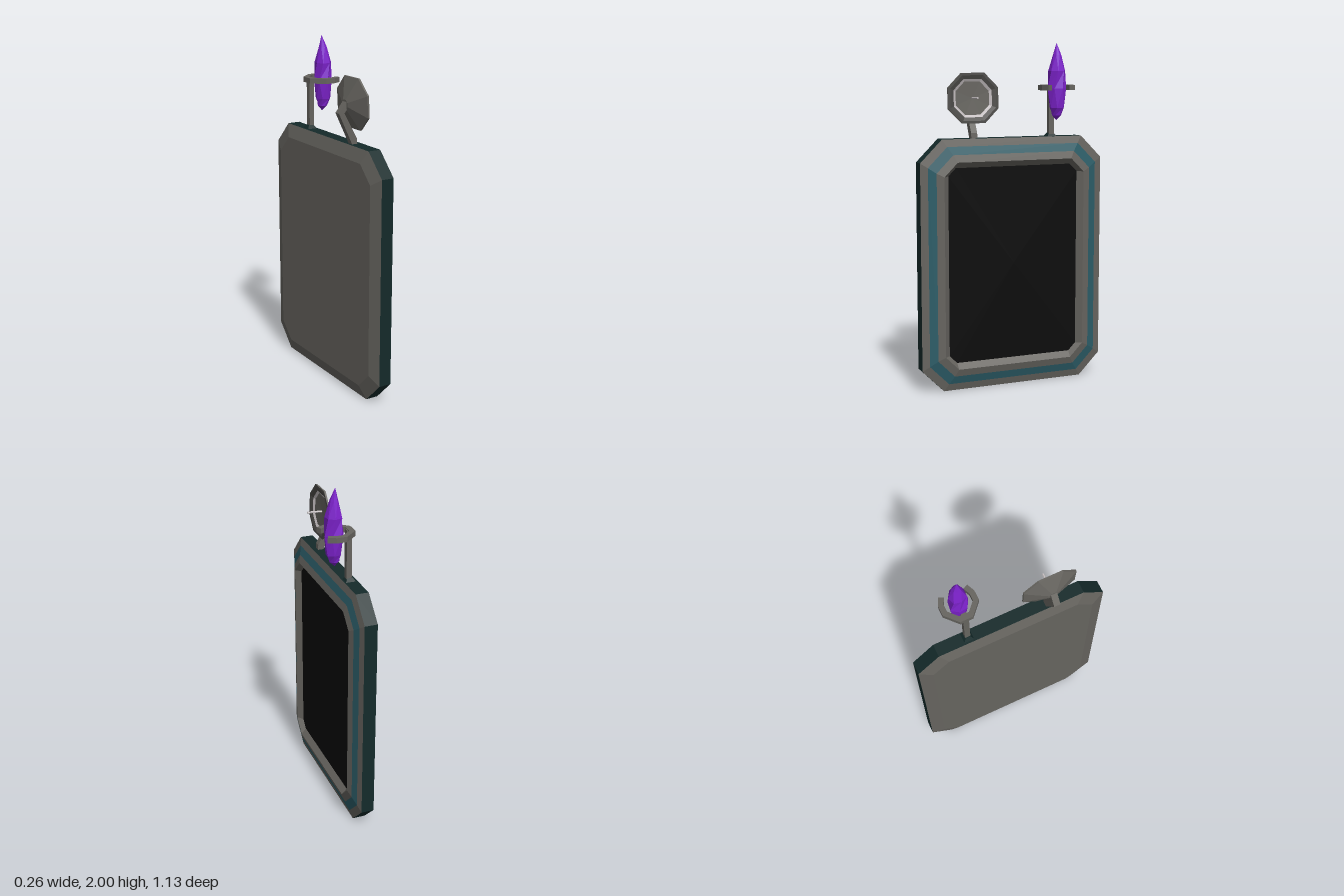
import * as THREE from 'three';

const mat = (color) => new THREE.MeshStandardMaterial({ color, flatShading: true });
const GREY = mat(0x66645f), DARK_GREY = mat(0x4c4b48), TEAL = mat(0x2c5d68), DARK_TEAL = mat(0x142a2a);
const BLACK = mat(0x0a0a0a), LIGHT = mat(0xc4bec0), PURPLE = mat(0x7d22cc);

// Skin between loops of points; loops run counter-clockwise seen from the end they advance to
function loft(loops) {
  const pos = [];
  for (let k = 0; k + 1 < loops.length; k++) {
    const A = loops[k], B = loops[k + 1], n = A.length;
    for (let i = 0; i < n; i++) {
      const j = (i + 1) % n;
      pos.push(...A[i], ...A[j], ...B[j], ...A[i], ...B[j], ...B[i]);
    }
  }
  const g = new THREE.BufferGeometry();
  g.setAttribute('position', new THREE.Float32BufferAttribute(pos, 3));
  g.computeVertexNormals();
  return g;
}

// Rectangle with cut corners, standing across x: depth x, half width w, half height h, corner cut c
function octagon([x, w, h, c]) {
  return [[w, c - h], [w, h - c], [w - c, h], [c - w, h], [-w, h - c], [-w, c - h], [c - w, -h], [w - c, -h]]
    .map(([a, y]) => [x, y, -a]);
}

function add(parent, name, geometry, material) {
  const mesh = new THREE.Mesh(geometry, material);
  mesh.name = name;
  parent.add(mesh);
  return mesh;
}

// Flat outline extruded by depth, centred on its own thickness
function slab(points, depth) {
  const g = new THREE.ExtrudeGeometry(new THREE.Shape(points.map((p) => new THREE.Vector2(...p))),
    { depth, bevelEnabled: false });
  return g.translate(0, 0, -depth / 2);
}

function createPanel() {
  const panel = new THREE.Group();
  panel.name = 'displayPanel';
  panel.position.y = 0.73;
  const ring = (x, inset, c) => octagon([x, 0.565 - inset, 0.73 - inset, c]);
  const centre = (x) => octagon([x, 0, 0, 0]);
  const back = ring(-0.09, 0.075, 0.1), rimBack = ring(-0.065, 0, 0.13), rimFront = ring(0.01, 0, 0.13);
  const tealOut = ring(0.022, 0.042, 0.115), tealIn = ring(0.037, 0.088, 0.1);
  const lip = ring(0.05, 0.13, 0.08), glass = ring(0.02, 0.163, 0.045);
  add(panel, 'backCover', loft([centre(-0.09), back, rimBack]), GREY);
  add(panel, 'sideBand', loft([rimBack, rimFront]), DARK_TEAL);
  add(panel, 'outerFrame', loft([rimFront, tealOut]), GREY);
  add(panel, 'tealStripe', loft([tealOut, tealIn]), TEAL);
  add(panel, 'innerFrame', loft([tealIn, lip]), GREY);
  add(panel, 'screenBevel', loft([lip, glass]), GREY);
  add(panel, 'screen', loft([glass, centre(0.02)]), BLACK);
  return panel;
}

function createDish() {
  const unit = new THREE.Group();
  unit.name = 'dishAntenna';
  unit.position.z = 0.23;

  // Bent support arm behind the dish
  add(unit, 'dishArm', slab([[-0.045, 1.45], [-0.015, 1.45], [-0.018, 1.49], [-0.1, 1.638],
    [-0.07, 1.675], [-0.085, 1.705], [-0.135, 1.64]], 0.037), GREY);

  const dish = new THREE.Group();
  dish.name = 'dish';
  dish.position.set(-0.036, 1.687, 0);
  dish.rotation.z = 0.05;
  const ring = (x, r) => octagon([x, r, r * 0.935, r * 0.54]);
  add(dish, 'dishBack', loft([ring(-0.052, 0), ring(-0.052, 0.028), ring(-0.002, 0.153), ring(0.008, 0.153)]), GREY);
  add(dish, 'dishRim', loft([ring(0.008, 0.153), ring(0.008, 0.138), ring(0, 0.116)]), DARK_GREY);
  add(dish, 'dishRing', loft([ring(0, 0.116), ring(-0.008, 0.101)]), LIGHT);
  add(dish, 'dishFace', loft([ring(-0.008, 0.101), ring(-0.012, 0)]), GREY);
  const rod = add(dish, 'receiverRod', new THREE.CylinderGeometry(0.006, 0.006, 0.09, 6), LIGHT);
  rod.rotation.z = Math.PI / 2;
  rod.position.x = 0.033;
  unit.add(dish);
  return unit;
}

function createCrystalHolder() {
  const unit = new THREE.Group();
  unit.name = 'crystalHolder';
  unit.position.z = -0.25;

  // Foot and post
  const foot = add(unit, 'postFoot', new THREE.CylinderGeometry(0.022, 0.05, 0.03, 4)
    .rotateY(Math.PI / 4), DARK_TEAL);
  foot.position.set(-0.025, 1.465, 0);
  const post = add(unit, 'post', new THREE.BoxGeometry(0.03, 0.29, 0.032), GREY);
  post.position.set(-0.02, 1.612, 0);

  // Open claw around the crystal, mirrored across its middle
  const outer = [[0.13, 0.083], [0.085, 0.103], [0.028, 0.103], [-0.045, 0.037]];
  const inner = [[-0.012, 0.028], [0.038, 0.073], [0.08, 0.073], [0.117, 0.055]];
  const half = [...inner.slice().reverse(), ...[]];
  const flip = (pts) => pts.map(([x, y]) => [x, -y]).reverse();
  const claw = add(unit, 'claw', slab([...outer, ...flip(outer), ...flip(inner), ...half.slice().reverse()], 0.03), GREY);
  claw.rotation.x = -Math.PI / 2;
  claw.position.y = 1.745;

  // Faceted crystal: height, radius, twist and sideways shift of each loop
  const loops = [[1.557, 0, 0, -0.006], [1.585, 0.027, 0.2, -0.003], [1.63, 0.044, 0.5, 0.002],
    [1.74, 0.056, 0.2, 0], [1.84, 0.049, 0.6, 0.002], [1.93, 0.024, 0.3, -0.001], [2, 0, 0, -0.008]]
    .map(([y, r, twist, shift]) => Array.from({ length: 7 }, (_, i) => {
      const a = twist + (i / 7) * Math.PI * 2, k = r * (1 + 0.06 * Math.sin(i * 2.4 + y * 9));
      return [0.065 + shift + k * Math.cos(a), y, -k * Math.sin(a)];
    }));
  add(unit, 'crystal', loft(loops), PURPLE);
  return unit;
}

export function createModel() {
  const model = new THREE.Group();
  model.name = 'displayBoard';
  model.add(createPanel(), createDish(), createCrystalHolder());
  return model;
}
